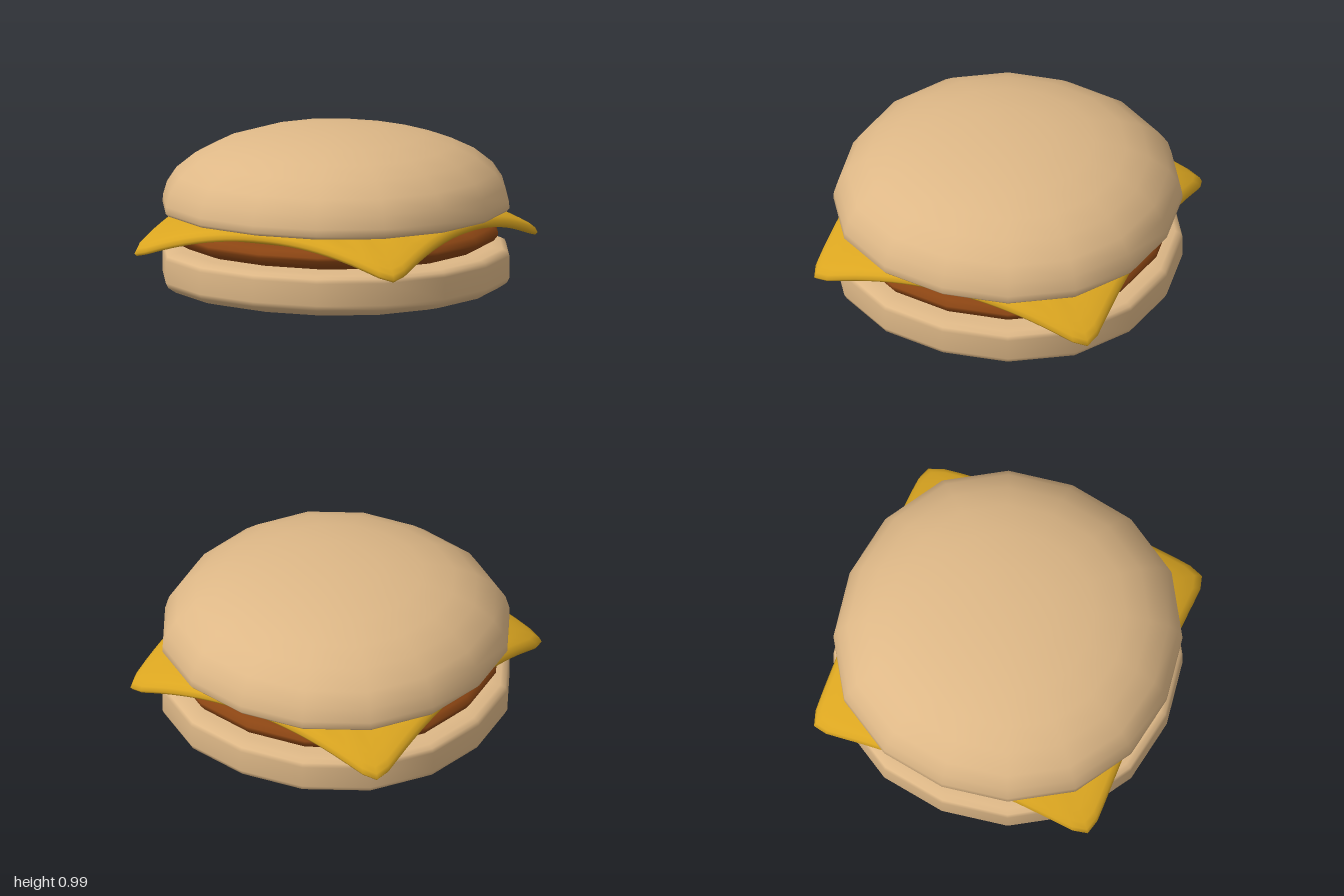
import * as THREE from 'three';
import { mergeVertices } from 'three/addons/utils/BufferGeometryUtils.js';

const material = (name, color) => {
  const m = new THREE.MeshStandardMaterial({ color });
  m.name = name;
  return m;
};

// Turns a bottom-to-top [radius, y] profile; outline(angle) scales the radius, drop(x, z) lowers points.
function turned(name, profile, sides, mat, outline, drop = () => 0) {
  const lathe = new THREE.LatheGeometry(profile.map(([r, y]) => new THREE.Vector2(r, y)), sides);
  const pos = lathe.attributes.position;
  for (let i = 0; i < pos.count; i++) {
    const k = outline(Math.atan2(pos.getX(i), pos.getZ(i)));
    const x = pos.getX(i) * k, z = pos.getZ(i) * k;
    pos.setXYZ(i, x, pos.getY(i) - drop(x, z), z);
  }
  lathe.deleteAttribute('uv');
  lathe.deleteAttribute('normal');
  const geometry = mergeVertices(lathe, 1e-4); // weld the seam and poles
  geometry.computeVertexNormals();
  const mesh = new THREE.Mesh(geometry, mat);
  mesh.name = name;
  return mesh;
}

export function createModel() {
  const bun = material('bun tan', 0xdeb887);
  const cheese = material('cheese yellow', 0xdaa520);
  const meat = material('meat brown', 0x8b4513);

  // Sixteen-sided round, slightly fuller on the diagonals
  const round = a => 1 + 0.03 * Math.sin(2 * a) ** 2;
  // Square with softened corners
  const square = a => (Math.abs(Math.cos(a)) ** 22 + Math.abs(Math.sin(a)) ** 22) ** (-1 / 22);
  // Corners beyond the patty hang down
  const droop = (x, z) => 0.235 * Math.max(0, x * x + z * z - 0.78);

  const group = new THREE.Group();
  group.name = 'cheeseburger';
  group.add(
    turned('bottomBun', [
      [0, 0], [0.4, 0.006], [0.66, 0.016], [0.84, 0.035], [0.94, 0.06], [0.985, 0.09], [1, 0.12],
      [1, 0.25], [0.99, 0.275], [0.96, 0.289], [0.9, 0.296], [0.7, 0.298], [0, 0.3],
    ], 16, bun, round),
    turned('patty', [
      [0, 0.298], [0.8, 0.3], [0.86, 0.312], [0.91, 0.338], [0.934, 0.37],
      [0.934, 0.39], [0.91, 0.418], [0.86, 0.435], [0.8, 0.442], [0, 0.444],
    ], 16, meat, round),
    turned('cheeseSlice', [
      [0, 0.438], [0.4, 0.438], [0.6, 0.438], [0.7, 0.438], [0.8, 0.438], [0.855, 0.438], [0.88, 0.448],
      [0.89, 0.469], [0.88, 0.49], [0.855, 0.5], [0.8, 0.5], [0.7, 0.5], [0.6, 0.5], [0.4, 0.5], [0, 0.5],
    ], 96, cheese, square, droop),
    turned('topBun', [
      [0, 0.498], [0.85, 0.498], [0.94, 0.503], [0.985, 0.513], [1, 0.53], [0.998, 0.57], [0.975, 0.65],
      [0.92, 0.735], [0.81, 0.825], [0.68, 0.89], [0.5, 0.945], [0.27, 0.978], [0, 0.99],
    ], 16, bun, round),
  );
  return group;
}
